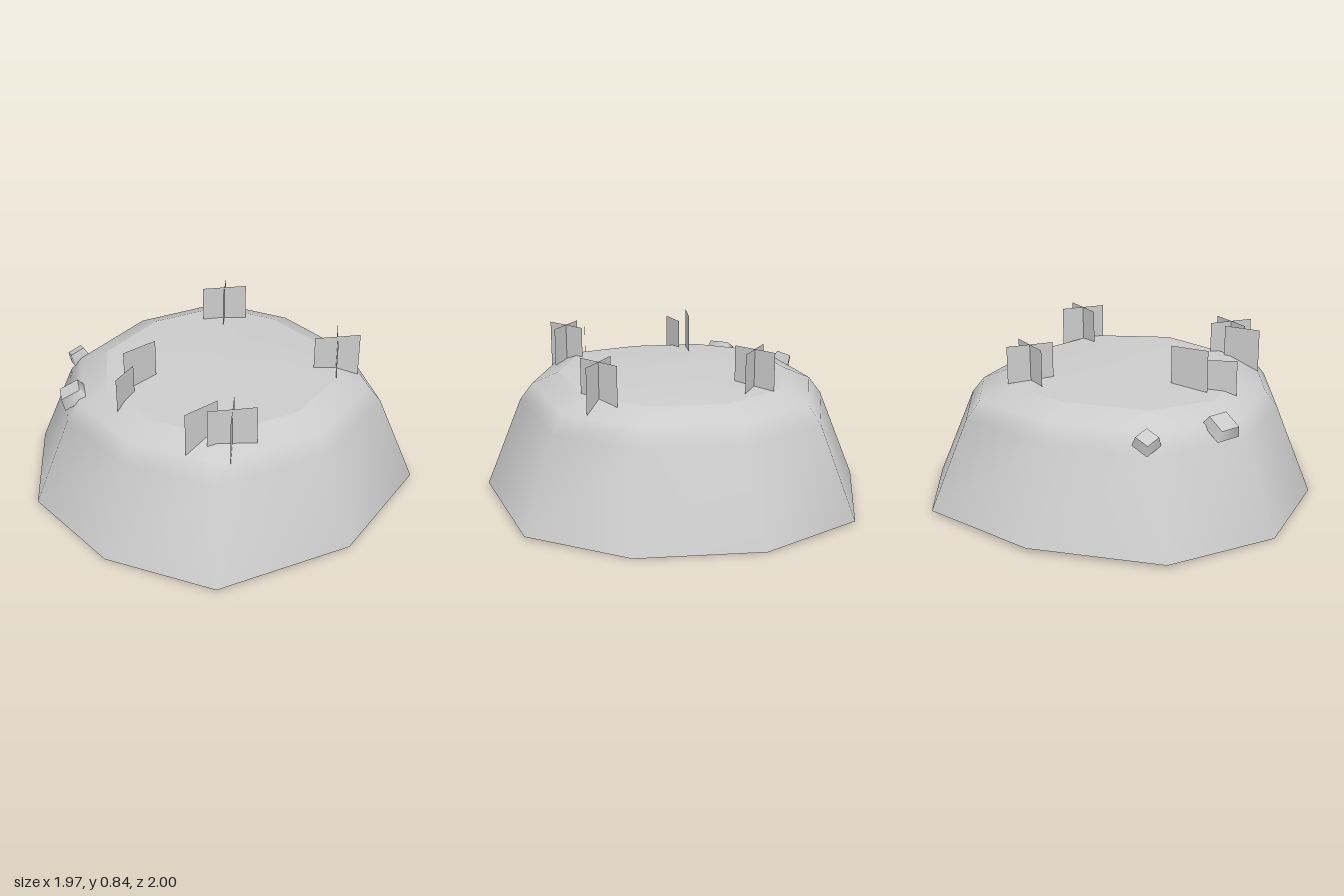
import * as THREE from 'three';

const material = new THREE.MeshStandardMaterial({ color: 0xcccccc, side: THREE.DoubleSide });

// Ten-sided ground outline as [x, z], starting at the back and going round by +x
const outline = [
  [0.04, -1], [0.69, -0.86], [0.97, -0.37], [0.98, 0.27], [0.72, 0.78],
  [0.02, 1], [-0.69, 0.81], [-0.97, 0.27], [-0.985, -0.34], [-0.63, -0.84],
];

// Hill cross-sections as [scale of the outline, height]
const rings = [[1, 0], [0.81, 0.47], [0.745, 0.555], [0.6, 0.615]];

// Rings rise slightly towards the front and back
const ringPoint = ([x, z], [s, y]) => [x * s, y + 0.025 * z * z, z * s];

function makeMesh(name, points, index) {
  const geometry = new THREE.BufferGeometry();
  geometry.setAttribute('position', new THREE.Float32BufferAttribute(points.flat(), 3));
  geometry.setIndex(index);
  geometry.computeVertexNormals();
  const mesh = new THREE.Mesh(geometry, material);
  mesh.name = name;
  return mesh;
}

// Sloping sides, open underneath
function hillSides() {
  const n = outline.length, index = [];
  const points = rings.flatMap((ring) => outline.map((p) => ringPoint(p, ring)));
  for (let r = 0; r < rings.length - 1; r++) {
    for (let i = 0; i < n; i++) {
      const a = r * n + i, b = r * n + (i + 1) % n;
      index.push(a, a + n, b, b, a + n, b + n);
    }
  }
  return makeMesh('hillSides', points, index);
}

// Gently domed top
function hillTop() {
  const n = outline.length, index = [];
  const points = [
    ...outline.map((p) => ringPoint(p, rings[3])),
    ...outline.map(([x, z]) => [x * 0.33, 0.645, z * 0.33]),
    [0, 0.645, 0],
  ];
  for (let i = 0; i < n; i++) {
    const j = (i + 1) % n;
    index.push(i, n + i, j, j, n + i, n + j, n + i, 2 * n, n + j);
  }
  return makeMesh('hillTop', points, index);
}

// Upright grass card spanning (dx, dz) about its centre
function grassCard(x, z, top, dx, dz) {
  const height = 0.27;
  const card = new THREE.Mesh(new THREE.PlaneGeometry(Math.hypot(dx, dz), height), material);
  card.position.set(x, top - height / 2, z);
  card.rotation.y = Math.atan2(-dz, dx);
  card.name = 'grassCard';
  return card;
}

// Two crossed cards
function grassTuft(x, z, top) {
  const tuft = new THREE.Group();
  tuft.name = 'grassTuft';
  tuft.add(grassCard(x, z, top, 0.17, -0.175), grassCard(x, z, top, 0.21, 0.125));
  return tuft;
}

// Small four-sided stone leaning with the slope
function rock(x, y, z, radius, turn) {
  const geometry = new THREE.CylinderGeometry(radius * 0.8, radius, 0.06, 4, 1);
  geometry.rotateY(turn);
  const stone = new THREE.Mesh(geometry, material);
  const normal = new THREE.Vector3(x, 1.6, z).normalize();
  stone.quaternion.setFromUnitVectors(new THREE.Vector3(0, 1, 0), normal);
  stone.position.set(x, y, z);
  stone.name = 'rock';
  return stone;
}

export function createModel() {
  const model = new THREE.Group();
  model.name = 'grassyHill';
  model.add(hillSides(), hillTop());

  // Crossed tufts
  for (const [x, z, top] of [[0.355, -0.39, 0.83], [0.47, 0.4, 0.815], [-0.385, 0.56, 0.8]]) {
    model.add(grassTuft(x, z, top));
  }

  // Single cards
  model.add(
    grassCard(-0.57, -0.06, 0.78, 0.15, -0.06),
    grassCard(-0.425, -0.13, 0.845, 0.2, 0),
    grassCard(-0.49, 0.455, 0.8, 0.2, 0),
  );

  // Rocks on the back right slope
  model.add(rock(-0.7, 0.56, -0.365, 0.095, 0.3), rock(-0.45, 0.555, -0.69, 0.07, 0.5));
  return model;
}
